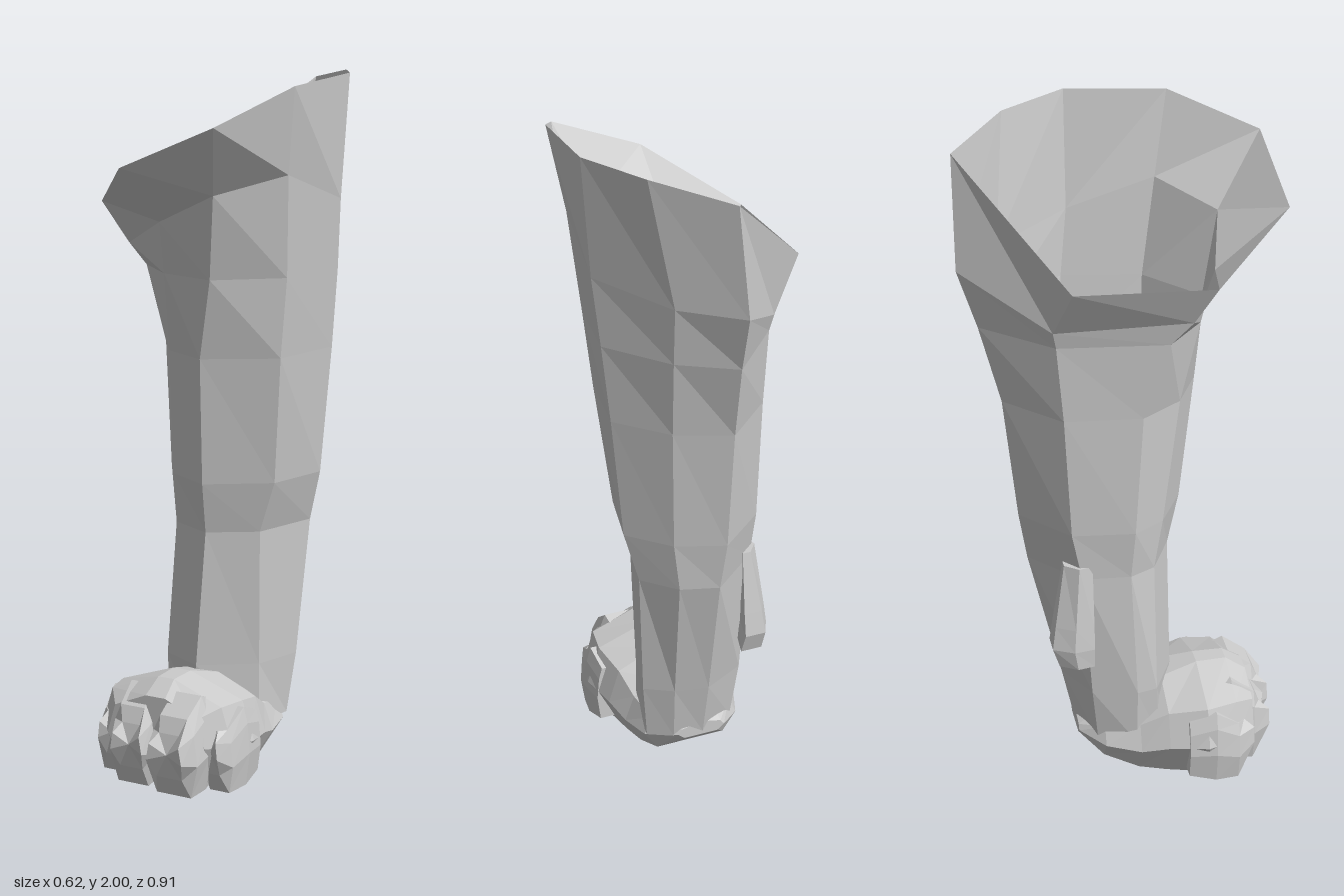
import * as THREE from 'three';

const material = new THREE.MeshStandardMaterial({ color: 0xcccccc, flatShading: true, side: THREE.DoubleSide });

// Skin a list of equal-sized rings of [x, y, z] points, optionally closing both ends
function loft(name, rings, capped) {
  const pos = [];
  const tri = (...pts) => pts.forEach(p => pos.push(...p));
  const n = rings[0].length;
  const centre = ring => [0, 1, 2].map(q => ring.reduce((s, p) => s + p[q], 0) / n);
  const first = rings[0], last = rings[rings.length - 1];
  for (let j = 0; j < n; j++) {
    const k = (j + 1) % n;
    for (let i = 0; i < rings.length - 1; i++) {
      const a = rings[i][j], b = rings[i][k], c = rings[i + 1][j], d = rings[i + 1][k];
      tri(a, b, c);
      tri(b, d, c);
    }
    if (capped) {
      tri(centre(first), first[k], first[j]);
      tri(centre(last), last[j], last[k]);
    }
  }
  const geo = new THREE.BufferGeometry();
  geo.setAttribute('position', new THREE.Float32BufferAttribute(pos, 3));
  geo.computeVertexNormals();
  const mesh = new THREE.Mesh(geo, material);
  mesh.name = name;
  return mesh;
}

// Eight-sided upright section at depth z; crown is the half width of its top as a share of the width
function section(z, x0, x1, y0, y1, crown, lean = 0) {
  const cx = (x0 + x1) / 2, h = y1 - y0, w = x1 - x0;
  return [
    [cx + w * 0.36, y0, z - lean], [x1, y0 + h * 0.42, z], [x1 - w * 0.08, y0 + h * 0.8, z],
    [cx + w * crown, y1, z - lean], [cx - w * crown, y1, z - lean],
    [x0 + w * 0.08, y0 + h * 0.8, z], [x0, y0 + h * 0.42, z], [cx - w * 0.36, y0, z - lean],
  ];
}

// Horizontal ring from x, z pairs at one height
const level = (y, pts) => pts.map(([x, z]) => [x, y, z]);

export function createModel() {
  const group = new THREE.Group();

  // Leg: open slanted rim, tapering to the ankle; points run back, outer side, front, inner side
  group.add(loft('leg', [
    [[0.01, 1.95, -0.455], [0.195, 1.99, -0.29], [0.305, 2, -0.1], [0.29, 1.985, 0.19],
      [0.18, 1.89, 0.435], [-0.1, 1.77, 0.455], [-0.31, 1.64, 0.215], [-0.3, 1.65, -0.18]],
    [[-0.025, 1.62, -0.455], [0.13, 1.62, -0.32], [0.28, 1.65, -0.1], [0.25, 1.74, 0.15],
      [0.1, 1.69, 0.3], [-0.1, 1.6, 0.25], [-0.255, 1.52, 0.16], [-0.21, 1.5, -0.22]],
    level(1.45, [[-0.03, -0.4], [0.125, -0.3], [0.262, -0.12], [0.225, 0.11],
      [0.06, 0.25], [-0.11, 0.21], [-0.235, 0.1], [-0.2, -0.21]]),
    level(1.22, [[-0.04, -0.34], [0.115, -0.27], [0.24, -0.13], [0.2, 0.1],
      [0.01, 0.22], [-0.13, 0.15], [-0.215, 0.03], [-0.195, -0.19]]),
    level(0.85, [[-0.04, -0.3], [0.1, -0.245], [0.205, -0.13], [0.16, 0.06],
      [-0.01, 0.175], [-0.15, 0.1], [-0.21, 0.01], [-0.19, -0.17]]),
    level(0.7, [[-0.03, -0.275], [0.08, -0.24], [0.165, -0.145], [0.11, 0.055],
      [-0.02, 0.14], [-0.155, 0.075], [-0.195, 0], [-0.185, -0.14]]),
    level(0.3, [[-0.04, -0.18], [0.06, -0.16], [0.14, -0.11], [0.1, 0.04],
      [-0.05, 0.145], [-0.185, 0.08], [-0.2, 0.02], [-0.17, -0.11]]),
    level(0.12, [[-0.04, -0.14], [0.05, -0.13], [0.12, -0.09], [0.1, 0.04],
      [-0.05, 0.13], [-0.17, 0.09], [-0.19, 0.02], [-0.15, -0.09]]),
  ], false));

  // Paw body from heel to knuckles
  group.add(loft('paw', [
    section(-0.14, -0.11, 0.04, 0.11, 0.15, 0.2),
    section(-0.07, -0.18, 0.12, 0.05, 0.19, 0.2),
    section(0.03, -0.22, 0.14, 0.015, 0.22, 0.2),
    section(0.11, -0.25, 0.16, 0.01, 0.28, 0.12),
    section(0.22, -0.29, 0.185, 0.01, 0.31, 0.06),
    section(0.31, -0.265, 0.165, 0.02, 0.31, 0.06),
    section(0.37, -0.21, 0.11, 0.05, 0.27, 0.1),
  ], true));

  // Four close-set toes: centre x, half width, front z, top height, inward drift at the tip
  const toes = [
    [-0.235, 0.052, 0.365, 0.24, 0.025], [-0.125, 0.072, 0.43, 0.285, 0.012],
    [0.035, 0.08, 0.455, 0.285, -0.008], [0.14, 0.045, 0.365, 0.24, -0.025],
  ];
  toes.forEach(([x, w, f, top, drift], i) => {
    const cut = (z, s, d, y0, y1, lean) =>
      section(z, x + drift * d - w * s, x + drift * d + w * s, y0, y1, 0.28, lean);
    group.add(loft('toe' + (i + 1), [
      cut(f - 0.2, 0.8, 0, 0.03, top - 0.03),
      cut(f - 0.12, 1, 0, 0.01, top),
      cut(f - 0.05, 0.97, 0.5, 0.005, top - 0.05),
      cut(f, 0.72, 1, 0.06, 0.19, 0.03),
    ], true));
  });

  // Dewclaw wrapping the inner back corner of the ankle
  const claw = (y, x0, x1, z0, z1) => level(y, [
    [x1 + 0.03, z0], [x1, z1], [x0 + 0.01, z1], [x0, (z0 + z1) / 2], [x0 + 0.03, z0],
  ]);
  group.add(loft('dewclaw', [
    claw(0.74, -0.195, -0.17, -0.19, -0.11),
    claw(0.55, -0.22, -0.165, -0.22, -0.11),
    claw(0.48, -0.228, -0.165, -0.23, -0.11),
    claw(0.42, -0.225, -0.16, -0.21, -0.11),
  ], true));

  return group;
}
